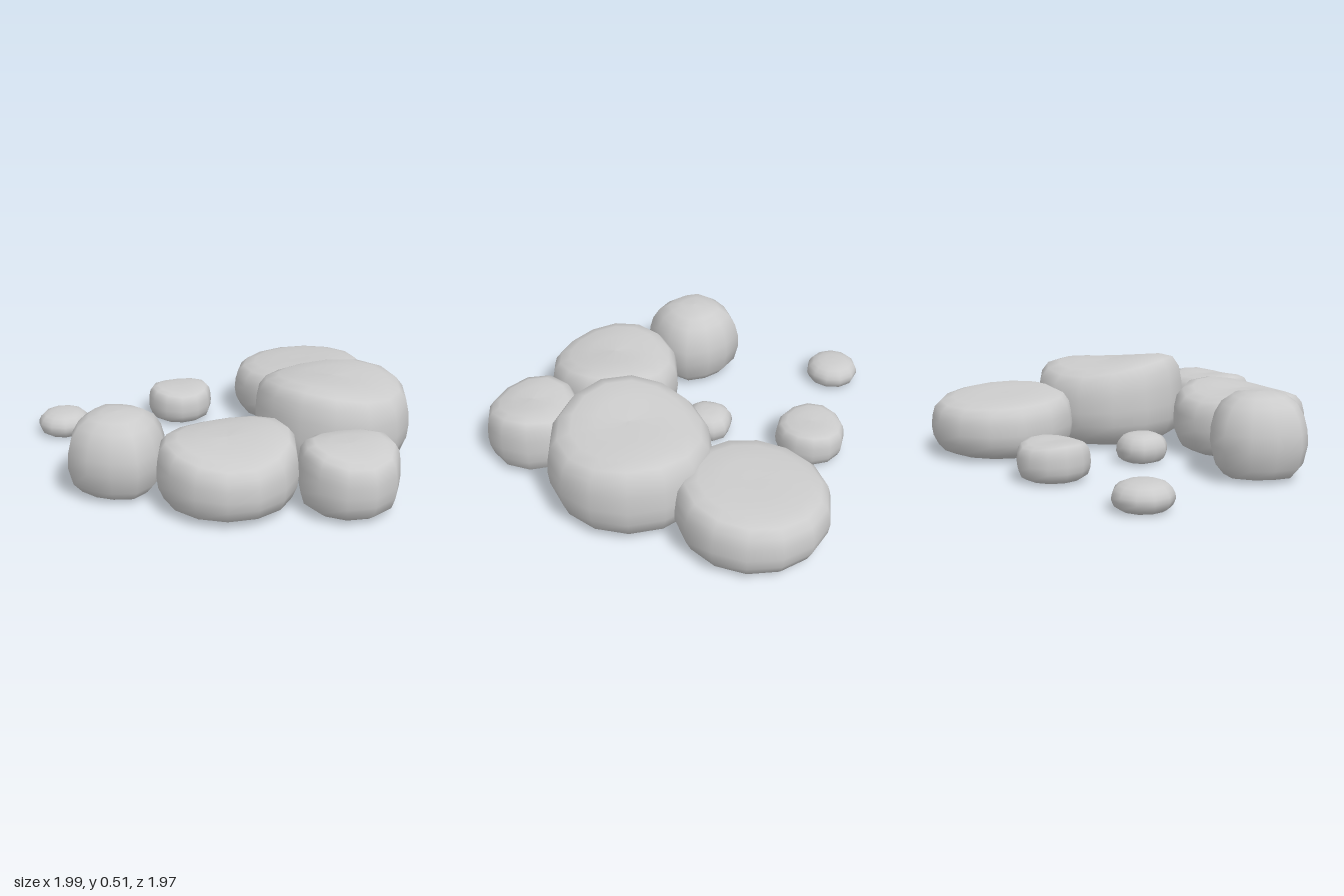
import * as THREE from 'three';

// Cross-sections from base to crown: [share of outline radius, share of height]
const SLAB = [[0, 0], [0.45, 0.005], [0.75, 0.04], [0.91, 0.13], [0.98, 0.3], [1, 0.47], [0.985, 0.66],
  [0.95, 0.82], [0.86, 0.93], [0.7, 0.98], [0.4, 1], [0, 0.99]];
const DOME = [[0, 0], [0.45, 0.01], [0.74, 0.05], [0.91, 0.17], [1, 0.4], [0.98, 0.57], [0.91, 0.73],
  [0.77, 0.87], [0.55, 0.96], [0.3, 0.99], [0, 1]];

// A smooth boulder: faceted outline stacked along a section, with a tilted, saddle-shaped crown.
// power shapes the outline: below 2 is a diamond, 2 is round, above 2 is a rounded square.
// saddle raises the crown at both ends of the direction ridge and lowers it across.
function boulder({ name, x, z, rx, rz = rx, height, sides = 14, turn = 0, power = 2,
  section = SLAB, tiltX = 0, tiltZ = 0, saddle = 0, ridge = 0 }) {
  const positions = [], index = [];
  for (const [r, y] of section) {
    for (let j = 0; j < sides; j++) {
      const a = (j / sides) * Math.PI * 2;
      const reach = r * (Math.abs(Math.cos(a)) ** power + Math.abs(Math.sin(a)) ** power) ** (-1 / power);
      const u = reach * Math.cos(a + turn), v = reach * Math.sin(a + turn);
      const slope = tiltX * u + tiltZ * v + saddle * reach * reach * Math.cos(2 * (a + turn - ridge));
      positions.push(x + u * rx, y * height * (1 + slope * y), z + v * rz);
    }
  }
  const last = section.length - 2;
  for (let i = 0; i <= last; i++) {
    for (let j = 0; j < sides; j++) {
      const a = i * sides + j, b = i * sides + (j + 1) % sides;
      const c = a + sides, d = b + sides;
      if (i > 0) index.push(a, c, b);
      if (i < last) index.push(b, c, d);
    }
  }
  const geometry = new THREE.BufferGeometry();
  geometry.setAttribute('position', new THREE.Float32BufferAttribute(positions, 3));
  geometry.setIndex(index);
  geometry.computeVertexNormals();
  const mesh = new THREE.Mesh(geometry, new THREE.MeshStandardMaterial({ color: 0xcccccc }));
  mesh.name = name;
  return mesh;
}

const ROCKS = [
  // Large flat-topped boulders
  { name: 'backBoulder', x: 0.6, z: -0.585, rx: 0.4, height: 0.335, turn: 0.25, tiltX: 0.04, tiltZ: 0.09 },
  { name: 'mainBoulder', x: 0.515, z: 0.095, rx: 0.435, height: 0.475, turn: 0.13,
    tiltX: -0.06, tiltZ: 0.04, saddle: 0.09, ridge: -0.55 },
  { name: 'middleBoulder', x: -0.22, z: 0.46, rx: 0.37, height: 0.36, turn: 0.1, tiltX: 0.05, tiltZ: -0.03, saddle: 0.12 },
  { name: 'frontBoulder', x: 0.34, z: 0.72, rx: 0.265, height: 0.35, sides: 11, turn: 0.3, tiltZ: -0.04, saddle: 0.1 },
  // Domed, diamond-shaped boulder
  { name: 'sideBoulder', x: -0.72, z: 0.14, rx: 0.275, height: 0.44, sides: 12, turn: -0.15, power: 1.55, section: DOME },
  // Small stones
  { name: 'outerPebble', x: -0.85, z: -0.7, rx: 0.15, height: 0.14, sides: 11, section: DOME },
  { name: 'backStone', x: -0.13, z: -0.72, rx: 0.19, height: 0.2, sides: 12, turn: 0.2, saddle: 0.08 },
  { name: 'innerPebble', x: -0.105, z: -0.14, rx: 0.125, rz: 0.13, height: 0.16, sides: 12, power: 3, section: DOME },
];

export function createModel() {
  const group = new THREE.Group();
  group.name = 'boulderCluster';
  for (const rock of ROCKS) group.add(boulder(rock));
  return group;
}
